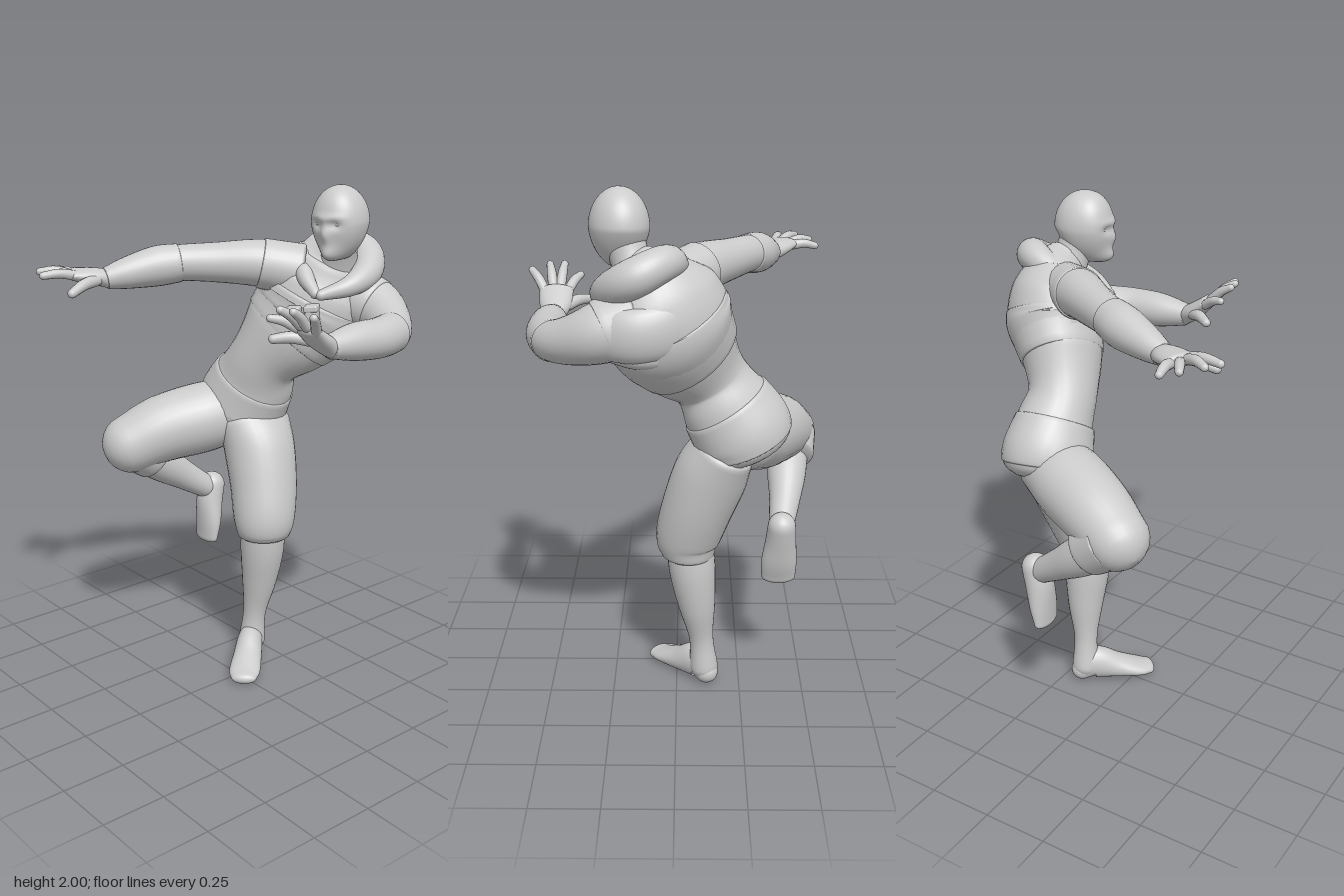
import * as THREE from 'three';
import { RoundedBoxGeometry } from 'three/addons/geometries/RoundedBoxGeometry.js';

const V = (x, y, z) => new THREE.Vector3(x, y, z);
const UP = V(0, 1, 0);
const SIDE = V(1, 0, 0);
const material = new THREE.MeshStandardMaterial({ color: 0xcccccc });

// Smooth skin through oval sections; row = [x, y, z, half width, half depth, turn in degrees].
// The half width lies along 'side'; 'cap' is how far the rounded ends reach, 'grow' thickens.
function loft(rows, { side = SIDE, cap = 1, grow = 0, seg = 28, steps = 7 } = {}) {
  const path = new THREE.CatmullRomCurve3(rows.map(r => V(r[0], r[1], r[2])), false, 'catmullrom');
  const size = new THREE.CatmullRomCurve3(rows.map(r => V(r[3], r[4] ?? r[3], r[5] ?? 0)), false, 'catmullrom');
  const pos = [], index = [];
  const ring = (u, scale, shift) => {
    const t = path.getTangent(u), r = size.getPoint(u);
    const c = path.getPoint(u).addScaledVector(t, shift * cap * (Math.min(r.x, r.y) + grow));
    const s = side.clone().applyAxisAngle(UP, THREE.MathUtils.degToRad(r.z));
    s.addScaledVector(t, -s.dot(t)).normalize();
    const b = t.clone().cross(s);
    for (let j = 0; j < seg; j++) {
      const a = j / seg * Math.PI * 2;
      const p = c.clone().addScaledVector(s, Math.cos(a) * (r.x + grow) * scale)
        .addScaledVector(b, Math.sin(a) * (r.y + grow) * scale);
      pos.push(p.x, p.y, p.z);
    }
  };
  const CAP = 6, n = (rows.length - 1) * steps;
  for (let i = 0; i < CAP; i++) {
    const a = i / CAP * Math.PI / 2;
    ring(0, Math.max(Math.sin(a), 0.01), -Math.cos(a));
  }
  for (let i = 0; i <= n; i++) ring(i / n, 1, 0);
  for (let i = 1; i <= CAP; i++) {
    const a = i / CAP * Math.PI / 2;
    ring(1, Math.max(Math.cos(a), 0.01), Math.sin(a));
  }
  for (let i = 0; i < n + 2 * CAP; i++) for (let j = 0; j < seg; j++) {
    const a = i * seg + j, b = i * seg + (j + 1) % seg;
    index.push(a, b, a + seg, b, b + seg, a + seg);
  }
  const g = new THREE.BufferGeometry();
  g.setAttribute('position', new THREE.Float32BufferAttribute(pos, 3));
  g.setIndex(index);
  g.computeVertexNormals();
  return g;
}

// Head from a sphere: jaw, brow, eye sockets, nose and chin
function headGeometry() {
  const g = new THREE.SphereGeometry(1, 64, 48), p = g.attributes.position;
  const bump = (a, b) => Math.exp(-a * a - b * b);
  for (let i = 0; i < p.count; i++) {
    const x = p.getX(i), y = p.getY(i), z = p.getZ(i), low = Math.max(0, -y);
    let d = z > 0 ? z ** 0.85 * 0.112 : z * 0.12 * (1 - 0.45 * low);
    if (z > 0) {
      d += 0.015 * bump(x / 0.18, (y + 0.25) / 0.22) + 0.009 * bump(x / 0.55, (y - 0.2) / 0.1)
        - 0.012 * bump((Math.abs(x) - 0.36) / 0.2, (y - 0.02) / 0.12)
        + 0.045 * Math.min(1, z * 4) * bump(x / 0.5, (y + 0.9) / 0.32);
    }
    p.setXYZ(i, x * 0.105 * (1 - 0.14 * low), y * 0.138, d);
  }
  g.computeVertexNormals();
  return g;
}

export function createModel() {
  const model = new THREE.Group();
  const add = (name, geometry, parent = model) => {
    const m = new THREE.Mesh(geometry, material);
    m.name = name;
    parent.add(m);
    return m;
  };

  // Torso, leaning and twisting from the hips up
  const torso = [
    [-0.258, 1.055, -0.222, 0.175, 0.168, 12], [-0.235, 1.11, -0.228, 0.183, 0.168, 15],
    [-0.18, 1.20, -0.235, 0.168, 0.147, 20], [-0.12, 1.30, -0.238, 0.145, 0.132, 26],
    [-0.045, 1.41, -0.29, 0.195, 0.155, 32], [0.018, 1.52, -0.36, 0.23, 0.18, 36],
    [0.057, 1.62, -0.387, 0.22, 0.168, 36], [0.095, 1.71, -0.395, 0.14, 0.12, 36],
    [0.13, 1.77, -0.385, 0.06, 0.065, 30]];
  add('torso', loft(torso, { cap: 0.4 }));
  add('shirtHem', loft(torso.slice(0, 3), { grow: 0.006, cap: 0.08 }));
  add('vest', loft(torso.slice(4, 8), { grow: 0.005, cap: 0.06 }));
  add('chestBand', loft([[-0.01, 1.46, -0.325, 0.215, 0.175, 34], [0.018, 1.52, -0.36, 0.239, 0.192, 36],
    [0.033, 1.56, -0.372, 0.236, 0.19, 36]], { cap: 0.08 }));
  for (const [x, y, z] of [[0.117, 1.51, -0.178], [0.173, 1.52, -0.218]]) {
    const pouch = add('pouch', new RoundedBoxGeometry(0.05, 0.078, 0.06, 3, 0.012));
    pouch.position.set(x, y, z);
    pouch.rotation.set(0, 0.63, 0.1);
    const flap = add('pouchFlap', new RoundedBoxGeometry(0.054, 0.026, 0.064, 3, 0.008), pouch);
    flap.position.y = 0.028;
  }
  // Broad cloth gathered across the back, with a rolled lower edge
  add('backCloth', loft([[-0.1, 1.57, -0.36, 0.05, 0.025], [-0.065, 1.565, -0.45, 0.085, 0.035],
    [0.02, 1.55, -0.525, 0.095, 0.045], [0.13, 1.535, -0.55, 0.095, 0.052],
    [0.23, 1.53, -0.525, 0.085, 0.045], [0.3, 1.52, -0.47, 0.06, 0.035]], { side: UP, cap: 0.8 }));
  add('backClothRoll', loft([[-0.13, 1.53, -0.33, 0.025], [-0.08, 1.495, -0.43, 0.035],
    [0.01, 1.465, -0.50, 0.04], [0.12, 1.455, -0.525, 0.042], [0.23, 1.465, -0.485, 0.035]], { side: UP }));

  // Lowered hood, neck and head
  add('hood', loft([[0.185, 1.605, -0.22, 0.02], [0.095, 1.66, -0.25, 0.036], [0.015, 1.715, -0.34, 0.048],
    [0.03, 1.765, -0.46, 0.06], [0.135, 1.725, -0.52, 0.068], [0.222, 1.67, -0.455, 0.06],
    [0.25, 1.63, -0.34, 0.04], [0.205, 1.60, -0.23, 0.02]], { side: UP }));
  add('neck', loft([[0.12, 1.68, -0.39, 0.085], [0.155, 1.76, -0.37, 0.07], [0.18, 1.83, -0.35, 0.074]]));
  const head = new THREE.Group();
  head.name = 'head';
  head.position.set(0.194, 1.862, -0.335);
  head.rotation.set(0.03, 0.25, 0.02);
  model.add(head);
  add('face', headGeometry(), head);
  for (const s of [-1, 1]) {
    const eye = add('eye', new THREE.SphereGeometry(0.013, 16, 12), head);
    eye.scale.set(1.4, 0.6, 0.8);
    eye.position.set(s * 0.036, 0.004, 0.086);
  }

  // Arms with sleeves and forearm guards
  const rightArm = [[0.01, 1.66, -0.30, 0.1], [-0.08, 1.69, -0.18, 0.092], [-0.185, 1.695, -0.04, 0.077],
    [-0.265, 1.695, 0.08, 0.07], [-0.305, 1.685, 0.16, 0.073], [-0.345, 1.665, 0.27, 0.056], [-0.37, 1.65, 0.345, 0.038]];
  const leftArm = [[0.14, 1.57, -0.45, 0.115], [0.25, 1.53, -0.478, 0.107], [0.35, 1.495, -0.445, 0.088],
    [0.43, 1.475, -0.38, 0.073], [0.46, 1.475, -0.28, 0.071], [0.463, 1.48, -0.15, 0.064], [0.465, 1.48, -0.03, 0.04]];
  for (const [name, arm] of [['right', rightArm], ['left', leftArm]]) {
    add(name + 'Arm', loft(arm, { side: UP, cap: 0.6 }));
    add(name + 'Sleeve', loft(arm.slice(0, 2), { side: UP, grow: 0.005, cap: 0.1 }));
    add(name + 'ForearmGuard', loft(arm.slice(3), { side: UP, grow: 0.004, cap: 0.12 }));
  }

  // Hands: flat palm, then fingers spreading from [knuckle, tip] pairs, thumb first
  const hand = (name, palm, side, fingers) => {
    const g = new THREE.Group();
    g.name = name;
    model.add(g);
    add('palm', loft(palm, { side, cap: 0.8 }), g);
    fingers.forEach(([a, b], i) => {
      const m = a.map((v, k) => (v + b[k]) / 2 + (k === 1 ? 0.008 : 0));
      const r = i ? 0.019 : 0.023;
      add(i ? 'finger' : 'thumb', loft([[...a, r], [...m, r * 0.95], [...b, r * 0.75]], { side: V(0.3, 1, -0.2), seg: 14 }), g);
    });
  };
  hand('rightHand', [[-0.37, 1.65, 0.34, 0.04, 0.034], [-0.395, 1.66, 0.385, 0.056, 0.032],
    [-0.43, 1.67, 0.45, 0.062, 0.024]], V(0.87, 0, 0.5), [
    [[-0.36, 1.65, 0.395], [-0.325, 1.62, 0.525]], [[-0.395, 1.67, 0.46], [-0.42, 1.68, 0.588]],
    [[-0.425, 1.675, 0.475], [-0.483, 1.685, 0.565]], [[-0.455, 1.67, 0.46], [-0.537, 1.675, 0.505]],
    [[-0.465, 1.665, 0.43], [-0.558, 1.66, 0.445]]]);
  hand('leftHand', [[0.465, 1.48, -0.03, 0.042, 0.036], [0.46, 1.51, 0.015, 0.06, 0.034],
    [0.46, 1.555, 0.07, 0.065, 0.026]], SIDE, [
    [[0.42, 1.505, 0.025], [0.342, 1.51, 0.125]], [[0.415, 1.555, 0.08], [0.375, 1.595, 0.168]],
    [[0.445, 1.57, 0.09], [0.437, 1.635, 0.178]], [[0.475, 1.57, 0.09], [0.492, 1.635, 0.168]],
    [[0.505, 1.555, 0.07], [0.558, 1.62, 0.135]]]);

  // Raised right leg: thigh, knee cuff, shin folded back, hanging foot
  add('rightShortsLeg', loft([[-0.265, 1.06, -0.19, 0.13], [-0.315, 1.035, -0.07, 0.145],
    [-0.385, 1.0, 0.08, 0.138], [-0.44, 0.945, 0.21, 0.12]], { cap: 0.95 }));
  add('rightShortsCuff', loft([[-0.445, 0.945, 0.19, 0.115], [-0.436, 0.885, 0.1, 0.111]], { cap: 0.2 }));
  add('rightShin', loft([[-0.445, 0.91, 0.17, 0.085], [-0.437, 0.825, 0.05, 0.078],
    [-0.425, 0.755, -0.05, 0.062], [-0.408, 0.69, -0.145, 0.05]]));
  add('rightFoot', loft([[-0.405, 0.69, -0.185, 0.054, 0.055], [-0.404, 0.62, -0.17, 0.06, 0.054],
    [-0.4, 0.53, -0.16, 0.069, 0.042], [-0.4, 0.46, -0.15, 0.066, 0.027]]));

  // Standing left leg
  add('leftShortsLeg', loft([[-0.175, 1.02, -0.23, 0.12, 0.16], [-0.13, 0.92, -0.22, 0.14, 0.15],
    [-0.08, 0.78, -0.2, 0.135, 0.14], [-0.045, 0.65, -0.175, 0.125, 0.128],
    [-0.043, 0.58, -0.172, 0.105, 0.112]], { cap: 0.3 }));
  add('leftShin', loft([[-0.05, 0.64, -0.175, 0.09], [-0.062, 0.5, -0.18, 0.09], [-0.08, 0.35, -0.18, 0.072],
    [-0.098, 0.2, -0.17, 0.048], [-0.11, 0.07, -0.165, 0.056]], { cap: 0.9 }));
  add('leftFoot', loft([[-0.12, 0.048, -0.175, 0.046, 0.047], [-0.085, 0.075, -0.135, 0.053, 0.072],
    [-0.02, 0.05, -0.065, 0.06, 0.05], [0.04, 0.031, 0.0, 0.064, 0.03],
    [0.074, 0.024, 0.032, 0.052, 0.023]], { side: V(0.72, 0, -0.69) }));
  return model;
}
